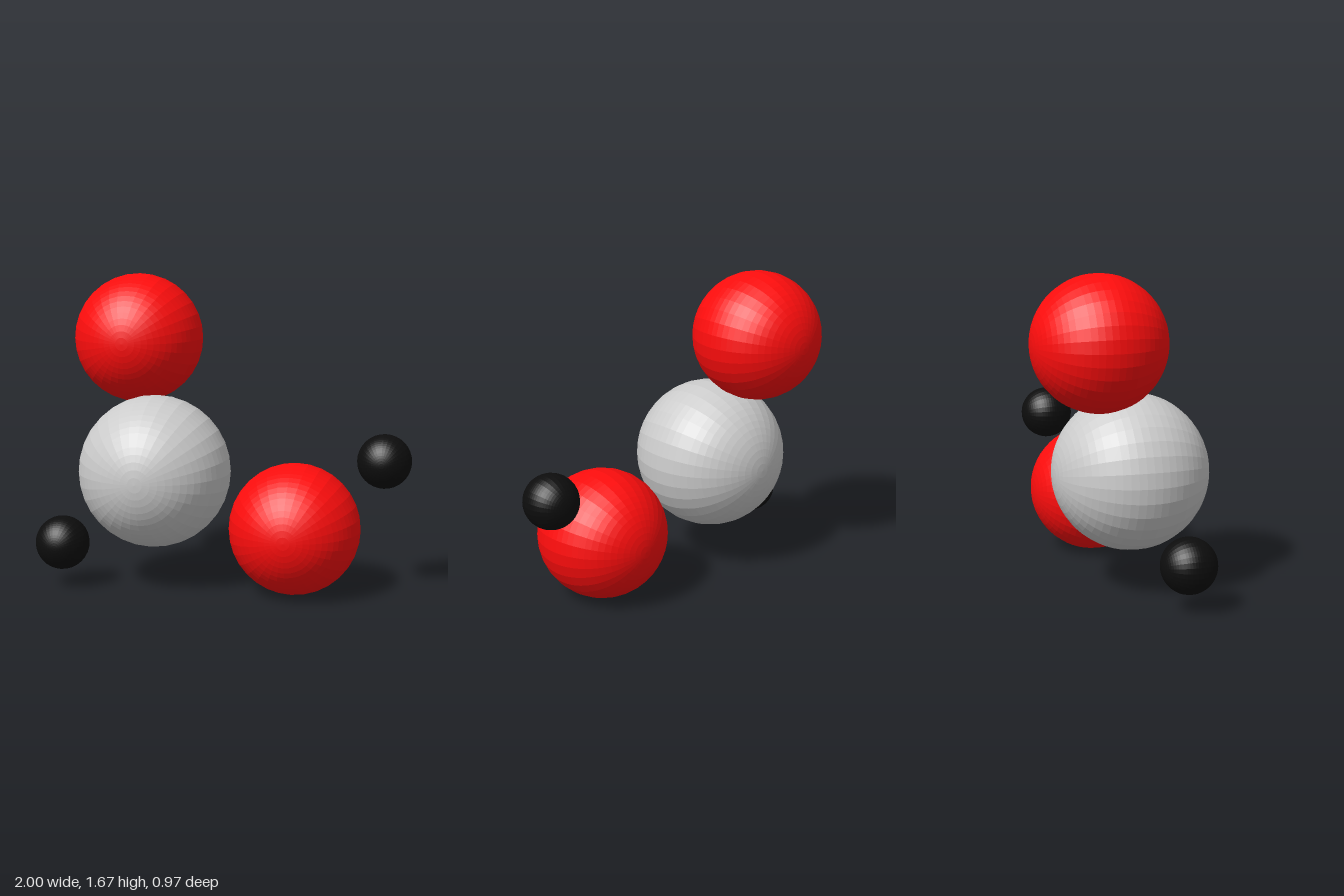
import * as THREE from 'three';

// Faceted ball with its poles along z
function ball(name, radius, color, x, y, z) {
  const geometry = new THREE.SphereGeometry(radius, 32, 32);
  geometry.rotateX(Math.PI / 2);
  const material = new THREE.MeshStandardMaterial({ color, flatShading: true });
  const mesh = new THREE.Mesh(geometry, material);
  mesh.name = name;
  mesh.position.set(x, y, z);
  return mesh;
}

export function createModel() {
  const model = new THREE.Group();
  model.name = 'molecule';

  const grey = 0xcccccc, red = 0xff0d0d, black = 0x0d0d0d;

  model.add(
    // Central atom
    ball('carbonAtom', 0.41, grey, -0.377, 0.627, 0.076),
    // Two large neighbours
    ball('upperOxygenAtom', 0.35, red, -0.517, 1.324, -0.135),
    ball('lowerOxygenAtom', 0.35, red, 0.395, 0.352, 0.103),
    // Small outer atoms
    ball('leftHydrogenAtom', 0.145, black, 0.85, 0.707, -0.043),
    ball('rightHydrogenAtom', 0.145, black, -0.855, 0.242, 0.23)
  );
  return model;
}
